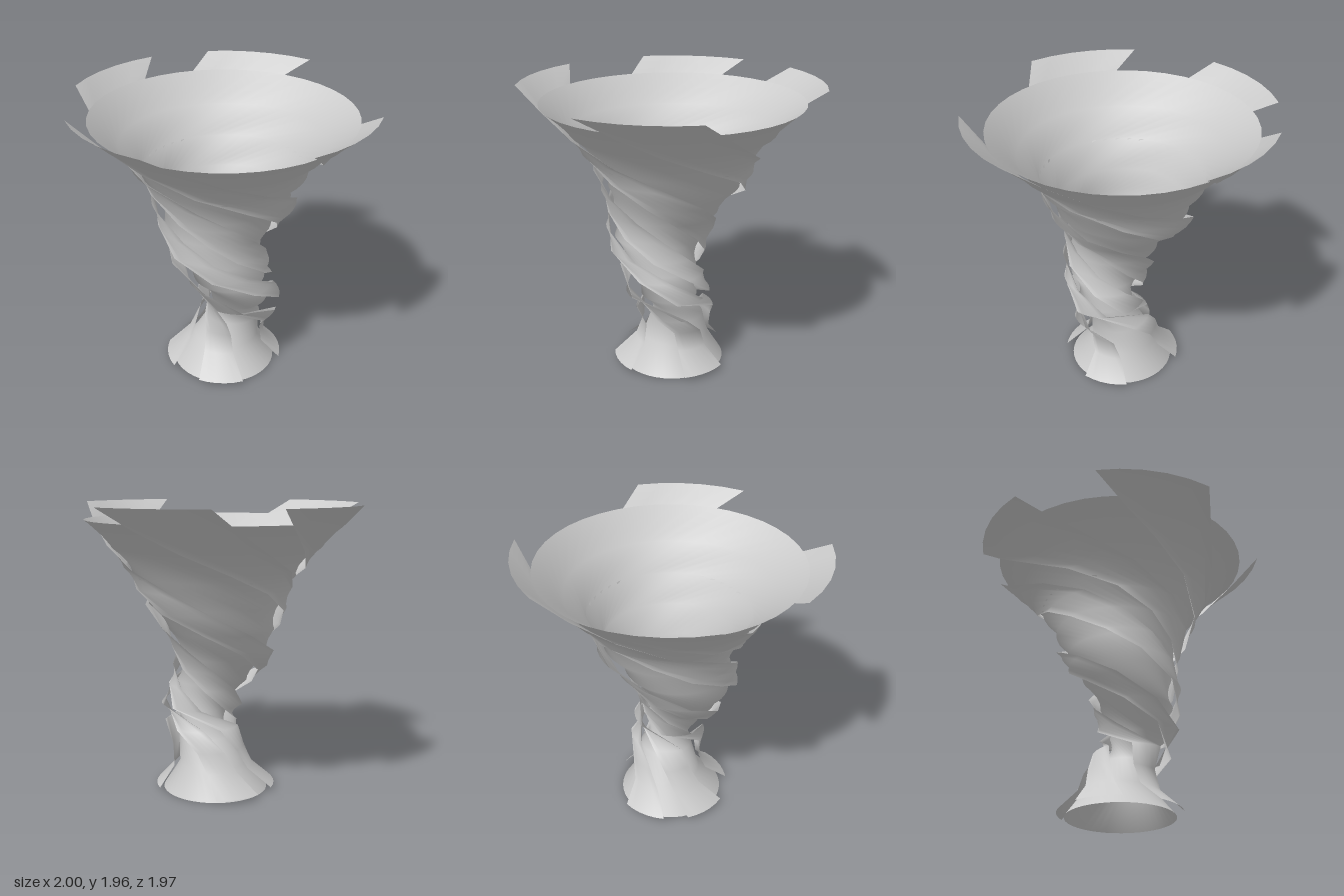
import * as THREE from 'three';

const material = new THREE.MeshStandardMaterial({ color: 0xcccccc, side: THREE.DoubleSide });

// Stations up the whirl: height, centre x, centre z, funnel radius, ribbon radius, twist in degrees
const stations = [
  [0.00, 0.00, 0.01, 0.36, 0.43, 408],
  [0.03, 0.00, 0.01, 0.33, 0.41, 406],
  [0.168, 0.01, -0.01, 0.235, 0.275, 398],
  [0.306, 0.04, -0.02, 0.19, 0.245, 388],
  [0.444, 0.11, 0.02, 0.175, 0.265, 368],
  [0.581, 0.12, 0.07, 0.195, 0.285, 293],
  [0.719, 0.07, 0.10, 0.235, 0.29, 250],
  [0.857, 0.00, 0.11, 0.275, 0.33, 208],
  [0.995, -0.05, 0.08, 0.32, 0.37, 174],
  [1.133, -0.03, 0.04, 0.365, 0.41, 142],
  [1.271, 0.00, 0.00, 0.425, 0.485, 114],
  [1.409, 0.01, 0.00, 0.50, 0.53, 86],
  [1.547, 0.00, 0.00, 0.585, 0.61, 54],
  [1.684, 0.00, 0.00, 0.69, 0.715, 28],
  [1.822, 0.00, 0.00, 0.825, 0.85, 11],
  [1.96, 0.00, 0.015, 0.975, 1.00, 0],
];
const profile = new THREE.CubicInterpolant(
  stations.map((s) => s[0]), stations.flatMap((s) => s.slice(1)), 5, new Float32Array(5));

// Twisted sheet spanning an arc of angles between two heights; radiusIndex picks funnel or ribbon
function twistedSheet(name, radiusIndex, y0, y1, rows, start, width, columns) {
  const closed = width === 360;
  const stride = closed ? columns : columns + 1;
  const positions = [], indices = [];
  for (let j = 0; j <= rows; j++) {
    const y = y0 + (y1 - y0) * j / rows;
    const p = profile.evaluate(y);
    for (let i = 0; i < stride; i++) {
      const a = THREE.MathUtils.degToRad(start + width * i / columns + p[4]);
      positions.push(p[0] + p[radiusIndex] * Math.sin(a), y, p[1] + p[radiusIndex] * Math.cos(a));
    }
  }
  for (let j = 0; j < rows; j++) {
    for (let i = 0; i < columns; i++) {
      const a = j * stride + i, b = j * stride + (i + 1) % stride;
      indices.push(a, b, a + stride, b, b + stride, a + stride);
    }
  }
  const geometry = new THREE.BufferGeometry();
  geometry.setAttribute('position', new THREE.Float32BufferAttribute(positions, 3));
  geometry.setIndex(indices);
  geometry.computeVertexNormals();
  const mesh = new THREE.Mesh(geometry, material);
  mesh.name = name;
  return mesh;
}

export function createModel() {
  const model = new THREE.Group();
  model.name = 'whirlwind';

  // Swaying open funnel
  model.add(twistedSheet('funnel', 2, 0, 1.86, 10, 0, 360, 40));

  // Loose ribbons spiralling around it, unevenly spaced
  const ribbons = new THREE.Group();
  ribbons.name = 'ribbons';
  [41.8, 154.7, 223, 301.6].forEach((start, i) => {
    ribbons.add(twistedSheet(`ribbon${i + 1}`, 3, 0.03, 1.96, 14, start, 44, 5));
  });
  model.add(ribbons);
  return model;
}
